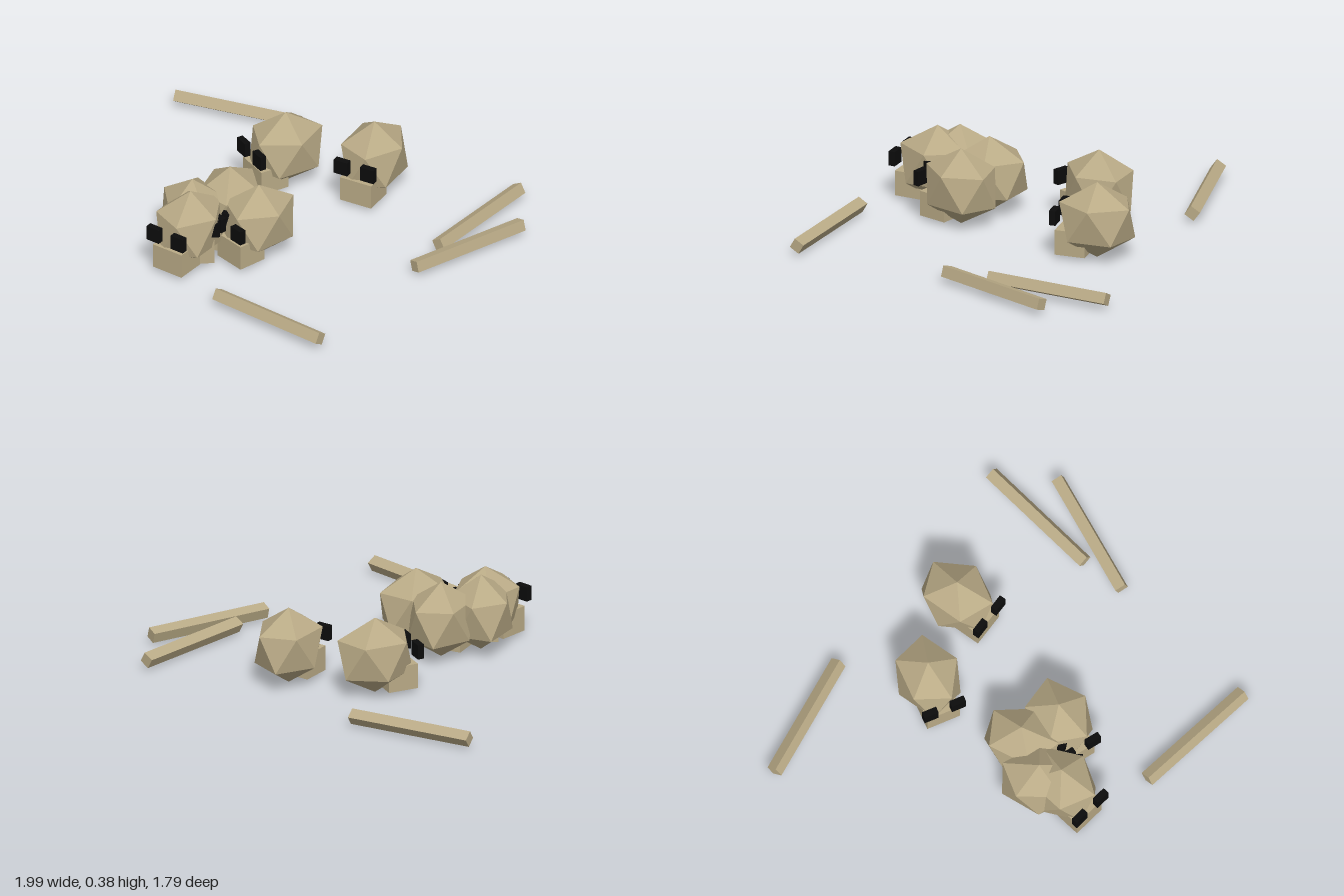
import * as THREE from 'three';

const boneMat = new THREE.MeshStandardMaterial({ name: 'bone', color: 0xb9aa86, flatShading: true });
const socketMat = new THREE.MeshStandardMaterial({ name: 'socketBlack', color: 0x0c0c0c, flatShading: true });

// Icosahedron turned so that one corner points straight up, then stretched front to back
const craniumGeo = new THREE.IcosahedronGeometry(1, 0);
craniumGeo.rotateZ(-Math.atan(2 / (1 + Math.sqrt(5))));
craniumGeo.scale(0.168, 0.19, 0.206);

const jawGeo = new THREE.BoxGeometry(0.168, 0.125, 0.15);
const socketGeo = new THREE.BoxGeometry(0.073, 0.073, 0.032);
const boneGeo = new THREE.BoxGeometry(0.63, 0.054, 0.054);

function add(parent, name, geo, mat, x, y, z) {
  const mesh = new THREE.Mesh(geo, mat);
  mesh.name = name;
  mesh.position.set(x, y, z);
  parent.add(mesh);
  return mesh;
}

// Skull: cranium, block jaw and two square eye sockets
function makeSkull(x, z, yaw) {
  const skull = new THREE.Group();
  skull.name = 'skull';
  add(skull, 'cranium', craniumGeo, boneMat, 0, 0.192, 0);
  add(skull, 'jaw', jawGeo, boneMat, 0, 0.083, 0.11);
  for (const side of [-1, 1]) {
    add(skull, side > 0 ? 'leftEyeSocket' : 'rightEyeSocket', socketGeo, socketMat, side * 0.071, 0.213, 0.19);
  }
  skull.position.set(x, 0, z);
  skull.rotation.y = yaw;
  return skull;
}

export function createModel() {
  const model = new THREE.Group();
  model.name = 'bonePile';

  // Skulls: x, z, yaw
  const skulls = [
    [0.167, -0.533, -0.092],
    [-0.252, -0.44, -0.613],
    [-0.3, 0.108, 0.05],
    [-0.385, 0.382, -0.226],
    [-0.11, 0.2, -0.455],
    [-0.42, 0.28, 0.53],
  ];
  for (const s of skulls) model.add(makeSkull(...s));

  // Loose long bones: x, z, yaw, roll about their length
  const bones = [
    [-0.682, -0.853, 0.042, -0.62],
    [0.193, 0.773, -0.263, -0.52],
    [0.75, -0.437, 1.329, -0.5],
    [0.805, -0.184, 1.047, -0.3],
  ];
  for (const [x, z, yaw, roll] of bones) {
    const bone = add(model, 'longBone', boneGeo, boneMat, x, 0.052, z);
    bone.rotation.set(roll, yaw, 0, 'YXZ');
  }
  return model;
}
